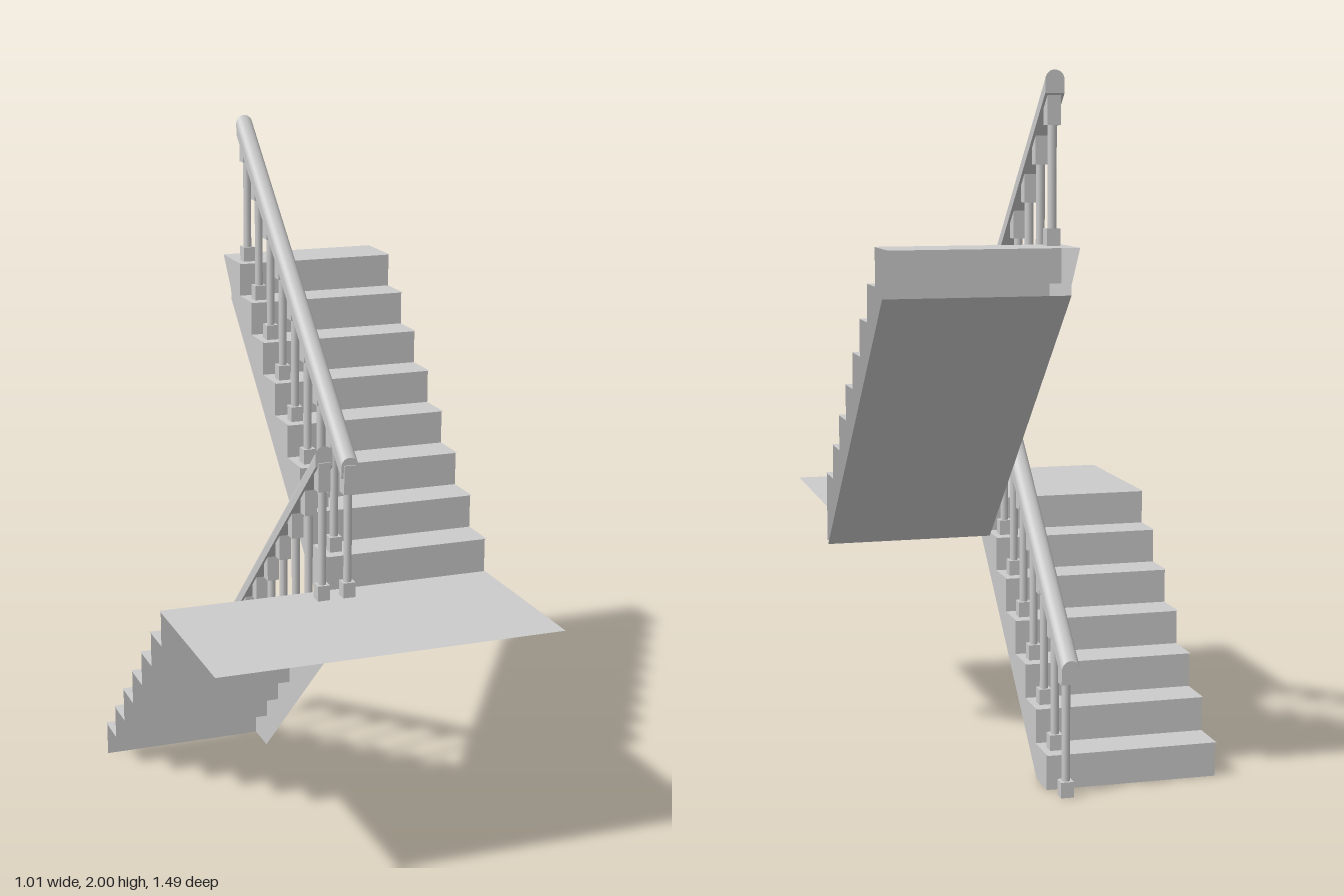
import * as THREE from 'three';

const RISE = 0.103, RUN = 0.1122, NOSE = 0.012, HALF = 0.505;
const LANDING_Y = 7 * RISE;
const mat = new THREE.MeshStandardMaterial({ color: 0xcccccc, side: THREE.DoubleSide });

function add(parent, name, geometry, x = 0, y = 0, z = 0) {
  const mesh = new THREE.Mesh(geometry, mat);
  mesh.name = name;
  mesh.position.set(x, y, z);
  parent.add(mesh);
  return mesh;
}

// Thin sheet spanning x0..x1, running from point a to point b, both [z, y]
function sheet(parent, name, x0, x1, a, b) {
  const dz = b[0] - a[0], dy = b[1] - a[1];
  const g = new THREE.PlaneGeometry(x1 - x0, Math.hypot(dz, dy));
  g.rotateX(Math.atan2(dz, dy));
  add(parent, name, g, (x0 + x1) / 2, (a[1] + b[1]) / 2, (a[0] + b[0]) / 2);
}

// Flat side panel at a given x from [z, y] points
function sidePanel(parent, x, points) {
  const shape = new THREE.Shape(points.map(([z, y]) => new THREE.Vector2(z, y)));
  add(parent, 'stringer', new THREE.ShapeGeometry(shape).rotateY(-Math.PI / 2), x);
}

// Treads and risers; dir is the climbing direction along z.
// Returns the stepped outline for the stringer.
function steps(parent, { x0, x1, z, y, dir, count, risers, lastDepth, firstDrop }) {
  const outline = [];
  for (let i = 0; i < risers; i++) {
    const nose = z + dir * RUN * i, face = nose + dir * NOSE;
    const low = y + RISE * i, top = low + RISE;
    sheet(parent, 'riser', x0, x1, [face, i ? low : low - firstDrop], [face, top]);
    if (i >= count) continue;
    const depth = i === count - 1 ? lastDepth : RUN + NOSE;
    sheet(parent, 'tread', x0, x1, [nose, top], [nose + dir * depth, top]);
    outline.push([face, i ? low : low - firstDrop], [face, top]);
  }
  return outline;
}

// Round-topped handrail with upright cut ends; top edge from a to b, both [z, y]
const RAIL_W = 0.052, RAIL_H = 0.06;
function handrail(parent, x, a, b) {
  const r = RAIL_W / 2;
  const s = new THREE.Shape();
  s.moveTo(-r, -RAIL_H);
  s.lineTo(r, -RAIL_H);
  s.lineTo(r, -r);
  s.absarc(0, -r, r, 0, Math.PI, false);
  s.lineTo(-r, -RAIL_H);
  const g = new THREE.ExtrudeGeometry(s, { depth: b[0] - a[0], bevelEnabled: false, curveSegments: 12 });
  const slope = (b[1] - a[1]) / (b[0] - a[0]);
  g.applyMatrix4(new THREE.Matrix4().set(1, 0, 0, 0, 0, 1, slope, 0, 0, 0, 1, 0, 0, 0, 0, 1));
  add(parent, 'handrail', g, x, a[1], a[0]);
  return z => a[1] + slope * (z - a[0]) - RAIL_H;
}

// Baluster: square foot, slim round shaft, square head tucked under the rail
function baluster(parent, x, z, base, railBottom) {
  const g = new THREE.Group();
  g.name = 'baluster';
  const foot = 0.045, head = 0.085, top = railBottom + 0.025;
  const block = h => new THREE.BoxGeometry(0.037, h, 0.037);
  add(g, 'foot', block(foot), x, base + foot / 2, z);
  add(g, 'head', block(head), x, top - head / 2, z);
  const len = top - head - base - foot;
  add(g, 'shaft', new THREE.CylinderGeometry(0.012, 0.012, len, 10, 1, true), x, base + foot + len / 2, z);
  parent.add(g);
}

export function createModel() {
  const model = new THREE.Group();
  model.name = 'staircase';

  // Lower flight climbs towards the front, open underneath
  const lower = new THREE.Group();
  lower.name = 'lowerFlight';
  const lowOutline = steps(lower, {
    x0: -HALF, x1: 0, z: -0.455, y: 0, dir: 1, count: 6, risers: 7, lastDepth: RUN + NOSE, firstDrop: 0,
  });
  sidePanel(lower, -0.001, [
    [-0.336, 0], ...lowOutline, [0.23, 6 * RISE], [0.23, 0.704], [0.34, 0.704], [0.34, 0.615],
  ]);

  // Landing sheet
  sheet(model, 'landing', -HALF, HALF, [0.217, LANDING_Y], [0.745, LANDING_Y]);

  // Upper flight climbs towards the back, closed by a sloping soffit
  const upper = new THREE.Group();
  upper.name = 'upperFlight';
  const upOutline = steps(upper, {
    x0: 0, x1: HALF, z: 0.222, y: LANDING_Y, dir: -1, count: 8, risers: 8, lastDepth: 0.184, firstDrop: 0.103,
  });
  sidePanel(upper, 0.001, [
    [0.2, 0.607], ...upOutline, [-0.747, 8 * RISE + LANDING_Y], [-0.672, 1.445], [-0.668, 1.416],
  ]);
  sheet(upper, 'soffit', 0, HALF, [0.2, 0.607], [-0.668, 1.416]);

  // Railings
  const lowRail = handrail(lower, -0.038, [-0.553, 0.4], [0.293, 1.18]);
  for (let i = 0; i < 8; i++) {
    const z = -0.505 + 0.112 * i;
    baluster(lower, -0.038, z, RISE * i, lowRail(z));
  }
  const upRail = handrail(upper, 0.04, [-0.643, 2], [0.293, 1.139]);
  for (let i = 0; i < 9; i++) {
    const z = 0.279 - 0.1122 * i;
    baluster(upper, 0.04, z, LANDING_Y + RISE * i, upRail(z));
  }

  model.add(lower, upper);
  return model;
}
